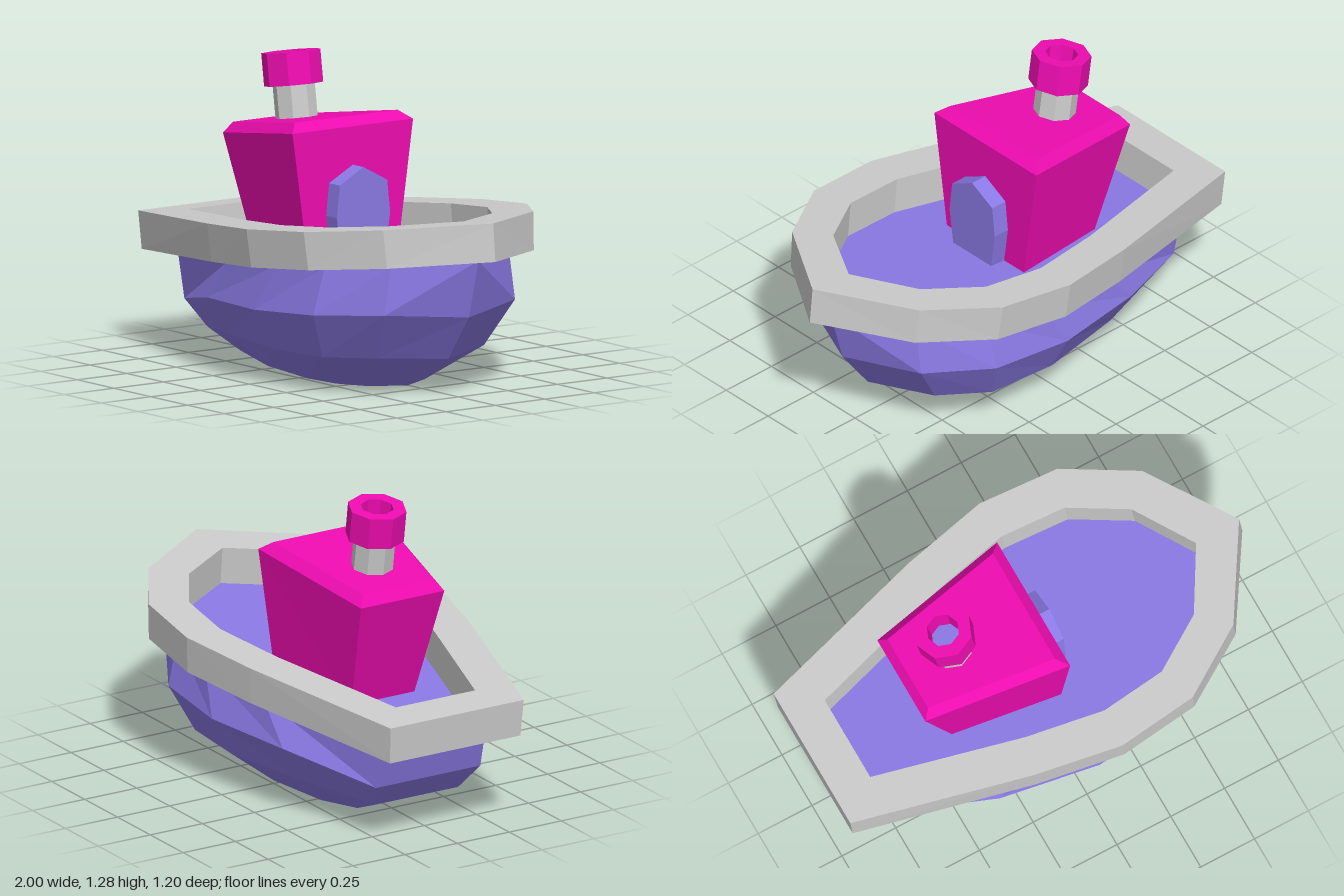
import * as THREE from 'three';

const paint = (color) => new THREE.MeshStandardMaterial({ color, flatShading: true });

// Mirror half a ring [x, y, z] (stern to bow) across z = 0; points on the centreline stay single.
const mirrorRing = (half) => [
  ...half,
  ...half.filter((p) => p[2] > 0).reverse().map(([x, y, z]) => [x, y, -z]),
];

// Skin a stack of rings, optionally closed with fans at the first and last ring.
// Diagonals flip on the second half of the ring so both sides mirror each other.
function loft(rings, capped) {
  const pos = [];
  const tri = (...pts) => pts.forEach((p) => pos.push(...p));
  const n = rings[0].length;
  for (let k = 0; k < rings.length - 1; k++) {
    const a = rings[k], b = rings[k + 1];
    for (let i = 0; i < n; i++) {
      const j = (i + 1) % n;
      if (i < Math.floor(n / 2)) {
        tri(a[i], a[j], b[j]);
        tri(a[i], b[j], b[i]);
      } else {
        tri(a[i], a[j], b[i]);
        tri(a[j], b[j], b[i]);
      }
    }
  }
  if (capped) {
    const first = rings[0], last = rings[rings.length - 1];
    for (let i = 1; i < n - 1; i++) {
      tri(first[0], first[i + 1], first[i]);
      tri(last[0], last[i], last[i + 1]);
    }
  }
  const geo = new THREE.BufferGeometry();
  geo.setAttribute('position', new THREE.Float32BufferAttribute(pos, 3));
  geo.computeVertexNormals();
  return geo;
}

export function createModel() {
  const model = new THREE.Group();
  const grey = paint(0xcccccc), purple = paint(0x8a79e4), pink = paint(0xee0cb0);
  const add = (name, geo, mat, parent = model) => {
    const mesh = new THREE.Mesh(geo, mat);
    mesh.name = name;
    parent.add(mesh);
    return mesh;
  };

  // Rings on the sloping deck plane, and on the rim top above it
  const deckY = (x) => 0.495 + 0.0957 * x;
  const low = (line, widen = 1) => mirrorRing(line.map(([x, z]) => [x, deckY(x), z * widen]));
  const high = (line) => mirrorRing(line.map(([x, z]) => [x - 0.015, deckY(x) + 0.157, z]));
  const outer = [[-0.985, 0.32], [-0.24, 0.525], [0.125, 0.598], [0.47, 0.565], [0.762, 0.38], [1, 0]];
  const inner = [[-0.82, 0.19], [-0.195, 0.365], [0.135, 0.43], [0.415, 0.405], [0.645, 0.26], [0.8, 0]];
  const outerLow = low(outer, 0.978);

  // Hull: rings from keel to deck line, then out under the rim and closed as the deck
  const hullRings = [
    [[-0.51, 0.035, 0.17], [-0.28, 0.005, 0.2], [0.03, 0, 0.23], [0.2, 0, 0.21], [0.33, 0, 0.14], [0.405, 0, 0]],
    [[-0.69, 0.11, 0.2], [-0.35, 0.14, 0.34], [0.05, 0.145, 0.42], [0.36, 0.15, 0.4], [0.56, 0.16, 0.27], [0.68, 0.147, 0]],
    [[-0.78, 0.22, 0.25], [-0.37, 0.3, 0.44], [0.05, 0.315, 0.515], [0.42, 0.34, 0.49], [0.69, 0.36, 0.33], [0.82, 0.337, 0]],
  ].map(mirrorRing);
  const deckLine = low([[-0.84, 0.24], [-0.22, 0.44], [0.16, 0.48], [0.43, 0.44], [0.69, 0.3], [0.885, 0]]);
  add('hull', loft([...hullRings, deckLine, outerLow], true), purple);

  // Rim: a thick sloping band standing on the deck edge
  add('rim', loft([outerLow, high(outer), high(inner), low(inner)], false), grey);

  // Cabin: flared walls with a bevelled roof edge
  const cabinRings = [
    [[-0.43, 0.44, 0.15], [0.03, 0.48, 0.228]],
    [[-0.585, 0.925, 0.2], [0.03, 1.015, 0.305]],
    [[-0.555, 0.97, 0.17], [-0.015, 1.05, 0.26]],
  ].map(mirrorRing);
  add('cabin', loft(cabinRings, true), pink);

  // Door: a pointed panel on the front of the cabin
  const panel = new THREE.Shape(
    [[0, 0.857], [-0.12, 0.793], [-0.135, 0.66], [-0.11, 0.48], [0.11, 0.48], [0.135, 0.66], [0.12, 0.793]]
      .map(([x, y]) => new THREE.Vector2(x, y)));
  const door = add('door', new THREE.ExtrudeGeometry(panel, { depth: 0.085, bevelEnabled: false }), purple);
  door.rotation.y = Math.PI / 2;
  door.position.x = 0.018;

  // Funnel: octagonal stem and hollow cap, leaning back with the roof
  const funnel = new THREE.Group();
  funnel.name = 'funnel';
  funnel.position.set(-0.35, 0.985, 0);
  funnel.rotation.z = 0.148;
  model.add(funnel);
  add('funnelStem', new THREE.CylinderGeometry(0.087, 0.087, 0.2, 8), grey, funnel).position.y = 0.06;
  const capProfile = [[0, 0.15], [0.122, 0.15], [0.122, 0.285], [0.068, 0.285], [0.062, 0.165]]
    .map(([r, y]) => new THREE.Vector2(r, y));
  add('funnelCap', new THREE.LatheGeometry(capProfile, 8), pink, funnel);
  const core = add('funnelCore', new THREE.CircleGeometry(0.064, 8), purple, funnel);
  core.rotation.x = -Math.PI / 2;
  core.position.y = 0.167;

  return model;
}
